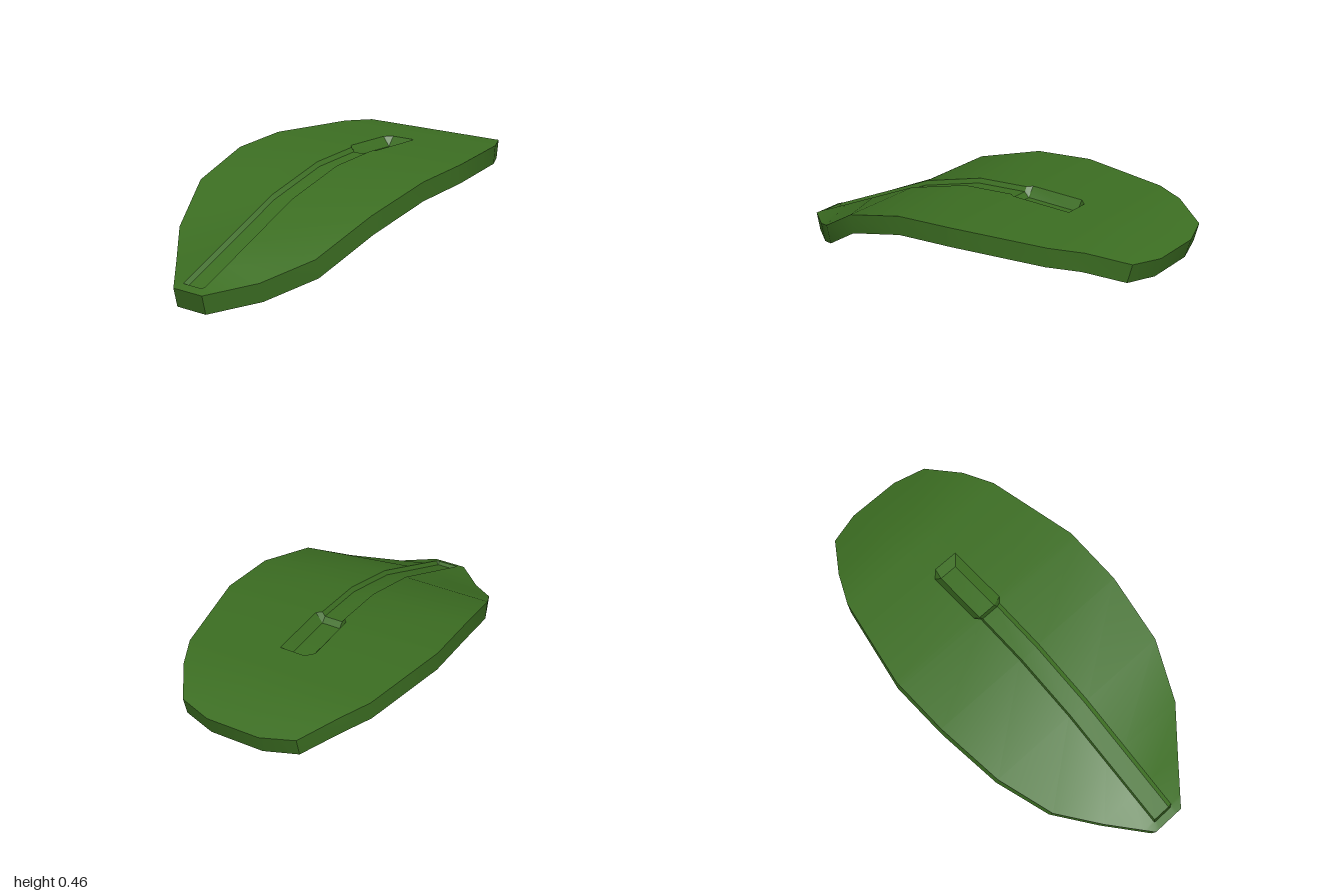
import * as THREE from 'three';
import { toCreasedNormals } from 'three/addons/utils/BufferGeometryUtils.js';

// Piecewise linear lookup in [z, value] pairs, z descending
function at(table, z) {
  for (let i = 0; i < table.length - 1; i++) {
    const [z0, v0] = table[i], [z1, v1] = table[i + 1];
    if (z >= z1) return v0 + (v1 - v0) * (z0 - z) / (z0 - z1);
  }
  return table[table.length - 1][1];
}

// Leaf outline, rim height, midline height and the backward lean of the rim wall
const halfWidth = [[1, 0.08], [0.82, 0.235], [0.64, 0.385], [0.39, 0.485], [0.07, 0.527],
  [-0.22, 0.532], [-0.655, 0.447], [-0.8, 0.378], [-0.955, 0.275], [-1, 0.125]];
const rimY = [[1, 0.09], [0.82, 0.128], [0.64, 0.213], [0.39, 0.36], [0.07, 0.445],
  [-0.22, 0.465], [-0.655, 0.457], [-0.79, 0.45], [-1, 0.39]];
const midY = [[1, 0.09], [0.39, 0.36], [0.07, 0.445], [-0.22, 0.465], [-0.655, 0.457],
  [-0.79, 0.45], [-1, 0.39]];
const lean = [[1, -0.02], [0.64, -0.022], [0.39, -0.013], [0.07, -0.003], [-0.22, 0],
  [-0.79, 0.014], [-1, 0.025]];
const thickness = 0.087;

// Channel along the midline, opening into a deeper socket
const channelDepth = [[1, 0], [0.965, 0], [0.955, 0.02], [-0.19, 0.02], [-0.212, 0.045],
  [-0.475, 0.045], [-0.51, 0], [-1, 0]];
const channelHalf = [[1, 0.057], [-0.19, 0.057], [-0.212, 0.077], [-1, 0.077]];
const floorHalf = 0.044;

// Closed cross-section: top from -x to +x, then the underside back
function section(z) {
  const w = at(halfWidth, z), edge = at(rimY, z), mid = at(midY, z);
  const g = at(channelHalf, z), floor = mid - at(channelDepth, z), zb = z + at(lean, z);
  return [
    [-w, edge, z], [-g, mid, z], [-floorHalf, floor, z],
    [floorHalf, floor, z], [g, mid, z], [w, edge, z],
    [w, edge - thickness, zb], [0, mid - thickness, zb], [-w, edge - thickness, zb],
  ];
}

function leafGeometry() {
  const stations = [1, 0.965, 0.955, 0.82, 0.64, 0.39, 0.07, -0.19, -0.212, -0.22,
    -0.475, -0.51, -0.655, -0.795, -0.955, -1];
  const rings = stations.map(section);
  const n = rings[0].length, last = (rings.length - 1) * n, index = [];
  for (let i = 0; i < rings.length - 1; i++) {
    for (let j = 0; j < n; j++) {
      const a = i * n + j, b = i * n + (j + 1) % n;
      index.push(a, b, b + n, a, b + n, a + n);
    }
  }
  // Blunt tip and blunt back end
  for (let j = 1; j < n - 1; j++) {
    index.push(0, j + 1, j);
    index.push(last, last + j, last + j + 1);
  }
  const geometry = new THREE.BufferGeometry();
  geometry.setAttribute('position', new THREE.Float32BufferAttribute(rings.flat(2), 3));
  geometry.setIndex(index);
  return toCreasedNormals(geometry, 0.55);
}

export function createModel() {
  const group = new THREE.Group();
  group.name = 'leaf';
  const blade = new THREE.Mesh(leafGeometry(), new THREE.MeshStandardMaterial({ color: 0x3c6e22 }));
  blade.name = 'leafBlade';
  group.add(blade);
  return group;
}
